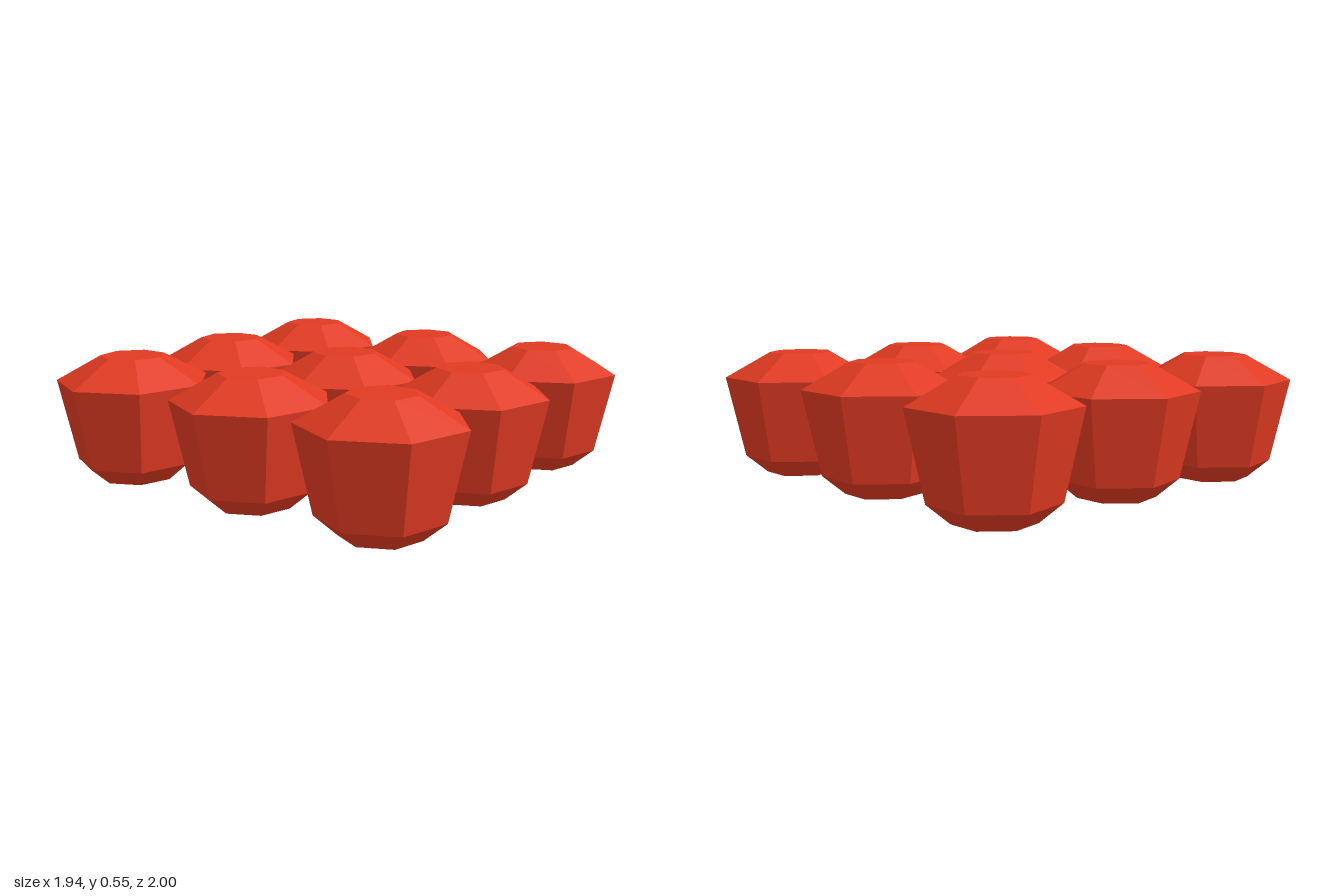
import * as THREE from 'three';

export function createModel() {
  const model = new THREE.Group();
  model.name = 'gemGrid';
  const material = new THREE.MeshStandardMaterial({ color: 0xe03a22, flatShading: true });

  // Seven-sided gem: base, lower bevel, flared wall, sloped crown, flat top
  const profile = [
    [0, 0], [0.167, 0], [0.261, 0.08], [0.339, 0.44], [0.141, 0.55], [0, 0.55],
  ].map(([r, y]) => new THREE.Vector2(r, y));

  // One corner points towards -x
  const gem = new THREE.LatheGeometry(profile, 7, -Math.PI / 2);

  // Slightly uneven three by three layout
  const columns = [-0.631, 0.001, 0.664];
  const rows = [-0.67, 0.026, 0.669];
  rows.forEach((z, row) => columns.forEach((x, column) => {
    const mesh = new THREE.Mesh(gem, material);
    mesh.name = `gemRow${row + 1}Column${column + 1}`;
    mesh.position.set(x, 0, z);
    model.add(mesh);
  }));

  return model;
}
